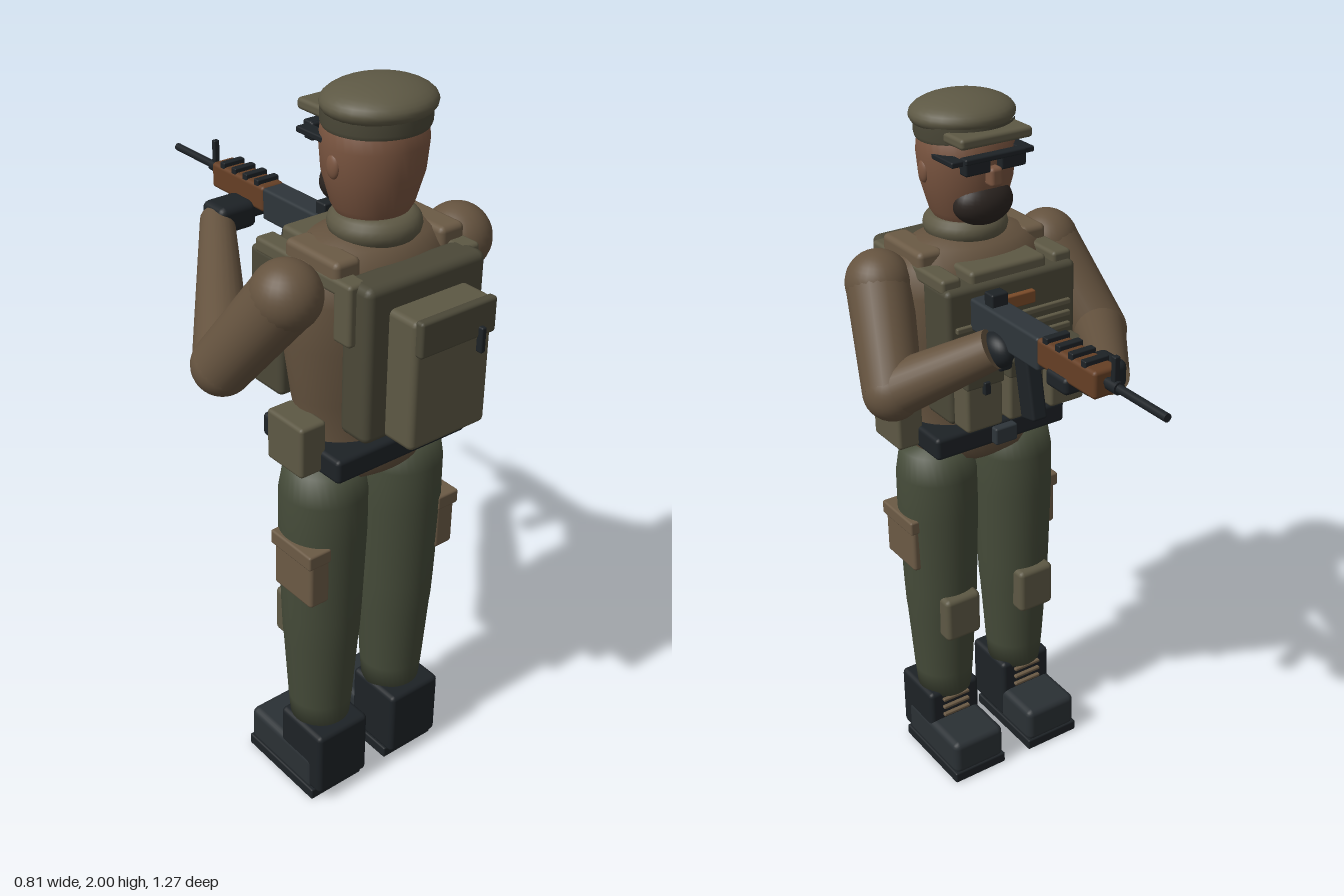
import * as THREE from 'three';
import { RoundedBoxGeometry } from 'three/addons/geometries/RoundedBoxGeometry.js';

const mat = (color) => new THREE.MeshStandardMaterial({ color });
const M = {
  shirt: mat(0x65533f), trousers: mat(0x454b39), skin: mat(0x7a5540), olive: mat(0x5d5844),
  darkOlive: mat(0x4b4838), strap: mat(0x6b5a45), black: mat(0x1d2226), boot: mat(0x2a3034),
  metal: mat(0x2e353a), wood: mat(0x653f25), beard: mat(0x2b2420), patch: mat(0x7a4a28),
};

export function createModel() {
  const root = new THREE.Group();
  root.name = 'soldier';

  const add = (name, geo, material, x = 0, y = 0, z = 0) => {
    const m = new THREE.Mesh(geo, material);
    m.name = name;
    m.position.set(x, y, z);
    root.add(m);
    return m;
  };
  // Rounded box given by its min and max on each axis
  const box = (name, material, x0, x1, y0, y1, z0, z1, r = 0.01) => {
    const w = Math.abs(x1 - x0), h = y1 - y0, d = z1 - z0;
    return add(name, new RoundedBoxGeometry(w, h, d, 2, Math.min(r, w / 3, h / 3, d / 3)), material,
      (x0 + x1) / 2, (y0 + y1) / 2, (z0 + z1) / 2);
  };
  const ball = (name, material, x, y, z, rx, ry = rx, rz = rx) => {
    const m = add(name, new THREE.SphereGeometry(1, 28, 20), material, x, y, z);
    m.scale.set(rx, ry, rz);
    return m;
  };
  // Tapered cylinder from point a to point b
  const limb = (name, material, a, b, ra, rb, seg = 24) => {
    const A = new THREE.Vector3(...a), B = new THREE.Vector3(...b), d = B.clone().sub(A);
    const m = add(name, new THREE.CylinderGeometry(rb, ra, d.length(), seg), material);
    m.position.copy(A).add(B).multiplyScalar(0.5);
    m.quaternion.setFromUnitVectors(new THREE.Vector3(0, 1, 0), d.normalize());
    return m;
  };
  const lathe = (name, material, pts, x, z, zScale) => {
    const m = add(name, new THREE.LatheGeometry(pts.map(([r, y]) => new THREE.Vector2(r, y)), 36), material, x, 0, z);
    m.scale.z = zScale;
    return m;
  };

  // Torso and pelvis
  lathe('torso', M.shirt, [[0, 1], [0.11, 1], [0.17, 1.03], [0.2, 1.08], [0.19, 1.15], [0.21, 1.25], [0.233, 1.4],
    [0.237, 1.52], [0.215, 1.59], [0.17, 1.635], [0.1, 1.65], [0, 1.65]], 0, 0.305, 0.65);

  // Head, scarf and cap
  lathe('neck', M.skin, [[0.08, 1.6], [0.075, 1.75]], 0, 0.31, 1);
  const scarf = add('scarf', new THREE.TorusGeometry(0.078, 0.034, 14, 32), M.olive, 0, 1.662, 0.32);
  scarf.rotation.x = Math.PI / 2;
  lathe('head', M.skin, [[0, 1.65], [0.07, 1.66], [0.1, 1.71], [0.123, 1.79], [0.129, 1.86], [0.122, 1.92], [0.08, 1.96], [0, 1.97]],
    0, 0.31, 0.95);
  ball('beard', M.beard, 0, 1.74, 0.235, 0.085, 0.06, 0.058);
  box('nose', M.skin, -0.018, 0.018, 1.795, 1.845, 0.163, 0.21);
  for (const s of [-1, 1]) {
    box('lens', M.black, s * 0.015, s * 0.09, 1.835, 1.878, 0.168, 0.2, 0.006);
    box('glassesArm', M.black, s * 0.085, s * 0.122, 1.86, 1.875, 0.18, 0.3, 0.004);
    ball('ear', M.skin, s * 0.122, 1.82, 0.315, 0.012, 0.03, 0.02);
  }
  box('glassesBridge', M.black, -0.09, 0.09, 1.864, 1.88, 0.166, 0.195, 0.005);
  ball('capCrown', M.olive, 0, 1.95, 0.322, 0.14, 0.05, 0.126);
  lathe('capBand', M.darkOlive, [[0.126, 1.895], [0.13, 1.905], [0.13, 1.94]], 0, 0.315, 0.95);
  box('capVisor', M.olive, -0.105, 0.105, 1.905, 1.933, 0.16, 0.28, 0.01);

  // Legs, boots and leg gear
  for (const s of [-1, 1]) {
    lathe('trouserLeg', M.trousers, [[0, 0.22], [0.08, 0.22], [0.087, 0.3], [0.1, 0.5], [0.103, 0.53], [0.106, 0.6],
      [0.114, 0.85], [0.113, 0.97], [0.1, 1.05], [0, 1.07]], s * 0.127, 0.303, 1);
    box('kneePad', M.olive, s * 0.07, s * 0.185, 0.46, 0.6, 0.175, 0.23, 0.015);
    box('cargoPocket', M.strap, s * 0.18, s * 0.242, 0.69, 0.85, 0.25, 0.4);
    box('cargoFlap', M.strap, s * 0.18, s * 0.25, 0.815, 0.856, 0.245, 0.405, 0.006);
    box('bootShaft', M.black, s * 0.045, s * 0.215, 0.035, 0.237, 0.24, 0.412, 0.014);
    box('bootFoot', M.boot, s * 0.047, s * 0.217, 0.025, 0.137, 0.102, 0.38, 0.02);
    box('bootSole', M.black, s * 0.044, s * 0.22, 0, 0.034, 0.1, 0.386, 0.005);
    for (let i = 0; i < 3; i++)
      box('bootLace', M.strap, s * 0.085, s * 0.175, 0.147 + i * 0.028, 0.157 + i * 0.028, 0.229, 0.245, 0.003);
  }

  // Belt with buckle and side pouches
  box('belt', M.black, -0.207, 0.207, 1.08, 1.145, 0.157, 0.455, 0.012);
  box('buckle', M.metal, -0.035, 0.035, 1.085, 1.135, 0.135, 0.165, 0.006);
  for (const s of [-1, 1]) {
    box('hipPouch', M.olive, s * 0.19, s * 0.267, 1.087, 1.225, 0.255, 0.39);
    box('shoulderStrap', M.olive, s * 0.14, s * 0.197, 1.565, 1.605, 0.12, 0.47);
    box('strapPad', M.strap, s * 0.12, s * 0.195, 1.575, 1.64, 0.23, 0.42, 0.015);
    box('backStrap', M.olive, s * 0.14, s * 0.197, 1.45, 1.605, 0.41, 0.47);
  }

  // Chest rig
  box('chestPlate', M.darkOlive, -0.197, 0.197, 1.21, 1.58, 0.1, 0.22, 0.015);
  box('chestPanel', M.olive, -0.115, 0.115, 1.5, 1.61, 0.115, 0.24, 0.012);
  box('chestPatch', M.patch, -0.06, 0.06, 1.5, 1.535, 0.085, 0.105, 0.004);
  for (let i = 0; i < 3; i++) {
    const y = 1.4 + i * 0.033;
    box('webbing', M.olive, -0.175, 0.175, y, y + 0.016, 0.09, 0.105, 0.004);
    const x = (i - 1) * 0.13;
    box('magazinePouch', M.olive, x - 0.055, x + 0.055, 1.21, 1.375, 0.038, 0.11);
    box('pouchFlap', M.darkOlive, x - 0.057, x + 0.057, 1.335, 1.385, 0.032, 0.11, 0.006);
    box('pouchClip', M.black, x - 0.009, x + 0.009, 1.315, 1.35, 0.024, 0.04, 0.003);
  }

  // Backpack
  box('packBody', M.darkOlive, -0.178, 0.178, 1.205, 1.605, 0.415, 0.513, 0.02);
  box('packPocket', M.olive, -0.118, 0.118, 1.212, 1.545, 0.5, 0.602, 0.015);
  box('packFlap', M.darkOlive, -0.114, 0.114, 1.46, 1.55, 0.592, 0.618, 0.008);
  box('packPull', M.black, 0.058, 0.072, 1.425, 1.49, 0.612, 0.631, 0.004);

  // Arms: the -x hand holds the handguard, the +x hand the grip
  const arm = (s, wrist, rWrist) => {
    const shoulder = [s * 0.262, 1.55, 0.325], elbow = [s * 0.328, 1.325, 0.165];
    ball('shoulder', M.shirt, ...shoulder, 0.087, 0.087, 0.088);
    limb('upperArm', M.shirt, shoulder, elbow, 0.086, 0.077);
    ball('elbow', M.shirt, ...elbow, 0.077);
    limb('forearm', M.shirt, elbow, wrist, 0.073, rWrist);
  };
  arm(-1, [-0.015, 1.455, -0.29], 0.046);
  arm(1, [0.145, 1.465, -0.02], 0.052);
  box('supportHand', M.black, -0.042, 0.075, 1.43, 1.505, -0.328, -0.23, 0.02);
  box('supportFingers', M.black, 0.05, 0.14, 1.455, 1.5, -0.32, -0.235, 0.012);
  ball('triggerHand', M.black, 0.13, 1.46, -0.02, 0.036, 0.045, 0.055);

  // Rifle
  const gx = 0.097;
  box('receiver', M.metal, gx - 0.035, gx + 0.035, 1.468, 1.555, -0.195, 0.1, 0.008);
  box('handguard', M.wood, gx - 0.036, gx + 0.036, 1.486, 1.557, -0.42, -0.19, 0.01);
  for (let i = 0; i < 4; i++)
    box('railBand', M.black, gx - 0.034, gx + 0.034, 1.55, 1.569, -0.233 - i * 0.05, -0.213 - i * 0.05, 0.003);
  limb('barrel', M.black, [gx, 1.527, -0.4], [gx, 1.527, -0.635], 0.0105, 0.0105, 16);
  limb('gasBlock', M.black, [gx, 1.527, -0.43], [gx, 1.527, -0.465], 0.016, 0.016, 16);
  box('frontSight', M.black, gx - 0.008, gx + 0.008, 1.53, 1.602, -0.457, -0.442, 0.003);
  box('rearSight', M.black, gx - 0.024, gx + 0.024, 1.55, 1.588, 0.012, 0.05, 0.005);
  const magazine = box('magazine', M.black, gx - 0.022, gx + 0.022, 1.305, 1.49, -0.143, -0.085, 0.008);
  magazine.rotation.x = 0.2;
  const grip = box('pistolGrip', M.black, gx - 0.02, gx + 0.02, 1.39, 1.49, -0.02, 0.03, 0.008);
  grip.rotation.x = -0.2;

  return root;
}
